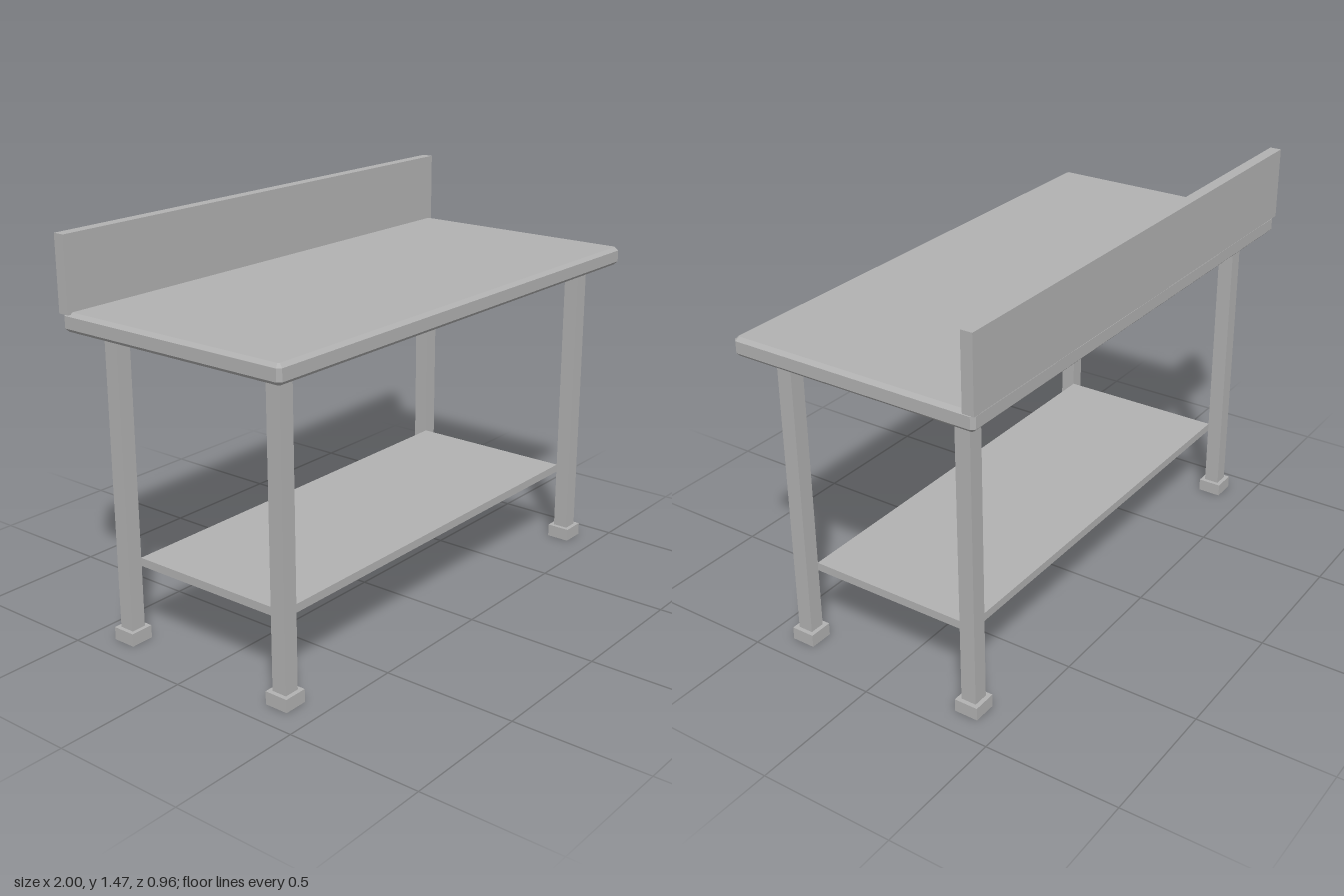
import * as THREE from 'three';

const steel = new THREE.MeshStandardMaterial({ color: 0xb2b2b2 });
steel.name = 'brushed steel grey';

// Box given by its minimum and maximum on each axis
function box(name, [x0, x1], [y0, y1], [z0, z1]) {
  const mesh = new THREE.Mesh(new THREE.BoxGeometry(x1 - x0, y1 - y0, z1 - z0), steel);
  mesh.position.set((x0 + x1) / 2, (y0 + y1) / 2, (z0 + z1) / 2);
  mesh.name = name;
  return mesh;
}

// Slab with every edge and corner chamfered by c
function chamferedSlab(width, height, depth, c) {
  const x = width / 2, z = depth / 2;
  const outline = [
    [-x + c, -z], [x - c, -z], [x, -z + c], [x, z - c],
    [x - c, z], [-x + c, z], [-x, z - c], [-x, -z + c],
  ].map(([a, b]) => new THREE.Vector2(a, b));
  const geometry = new THREE.ExtrudeGeometry(new THREE.Shape(outline), {
    depth: height - 2 * c,
    bevelEnabled: true,
    bevelSegments: 1,
    bevelThickness: c,
    bevelSize: c,
    bevelOffset: -c,
  });
  geometry.translate(0, 0, c);
  geometry.rotateX(-Math.PI / 2);
  return geometry;
}

export function createModel() {
  const table = new THREE.Group();
  table.name = 'workTable';

  // Worktop and upright splash panel along the back
  const worktop = new THREE.Mesh(chamferedSlab(1.99, 0.069, 0.951, 0.013), steel);
  worktop.position.set(0, 1.138, 0.003);
  worktop.name = 'worktop';
  table.add(worktop);
  table.add(box('backsplash', [-1, 1], [1.2, 1.468], [-0.478, -0.435]));

  // Lower shelf held between the legs
  table.add(box('lowerShelf', [-0.838, 0.838], [0.28, 0.311], [-0.327, 0.332]));

  // Square legs with wider feet
  const legHalf = 0.029, footHalf = 0.045, footTop = 0.048;
  for (const x of [-0.866, 0.866]) {
    for (const z of [-0.356, 0.361]) {
      const place = (z > 0 ? 'front' : 'back') + (x > 0 ? 'Left' : 'Right');
      const span = (c, h) => [c - h, c + h];
      table.add(box(place + 'Leg', span(x, legHalf), [footTop, 1.14], span(z, legHalf)));
      table.add(box(place + 'Foot', span(x, footHalf), [0, footTop], span(z, footHalf)));
    }
  }

  return table;
}
